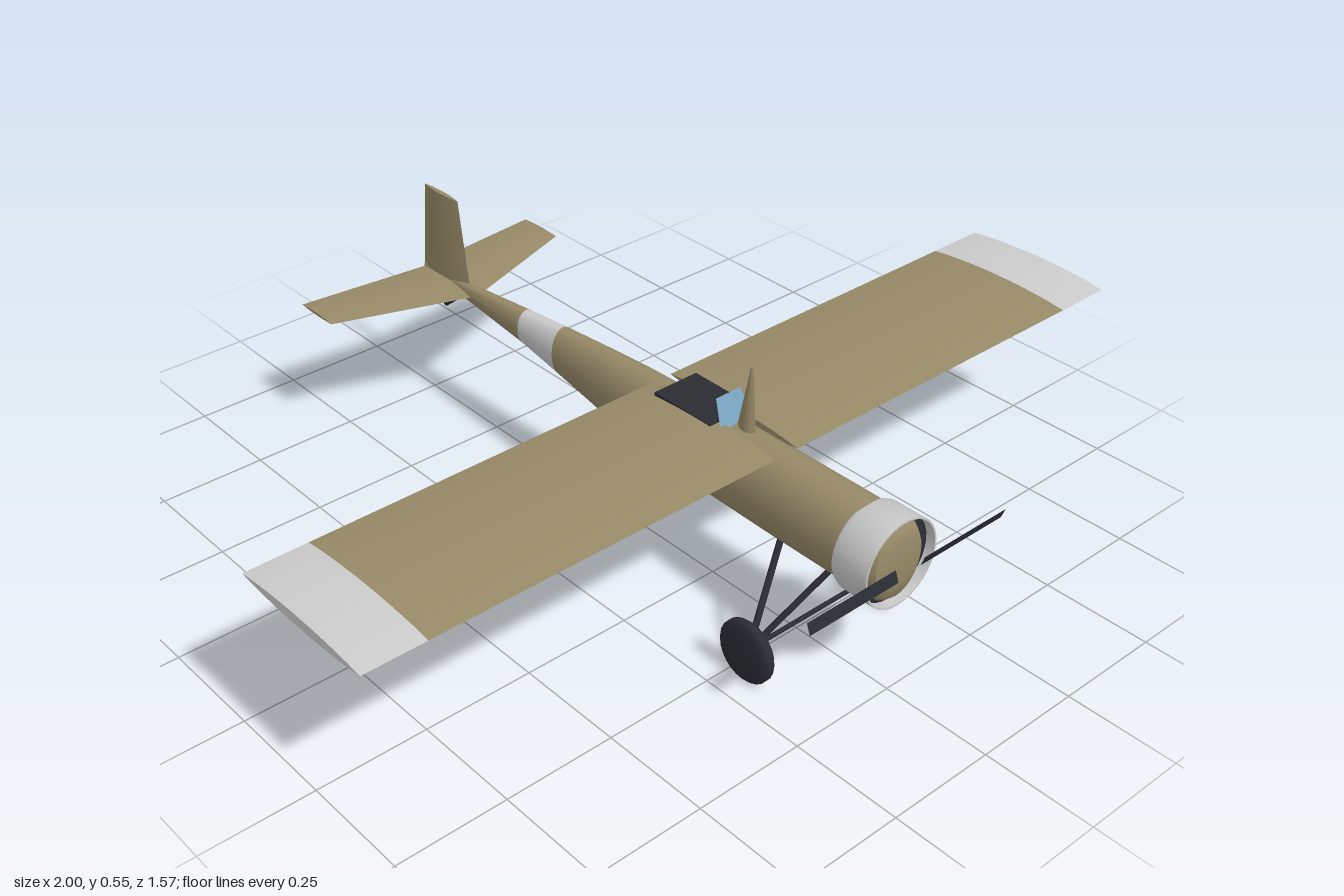
import * as THREE from 'three';
import { toCreasedNormals } from 'three/addons/utils/BufferGeometryUtils.js';

const mat = (color) => new THREE.MeshStandardMaterial({ color, side: THREE.DoubleSide });

// Skin a list of closed rings (arrays of [x, y, z]) and cap both ends
function loft(rings) {
  const n = rings[0].length, pos = rings.flat(2), idx = [];
  for (let i = 0; i < rings.length - 1; i++) {
    for (let j = 0; j < n; j++) {
      const a = i * n + j, b = i * n + (j + 1) % n;
      idx.push(a, b, a + n, b, b + n, a + n);
    }
  }
  [0, rings.length - 1].forEach((r) => {
    const centre = pos.length / 3;
    for (let k = 0; k < 3; k++) pos.push(rings[r].reduce((s, p) => s + p[k], 0) / n);
    for (let j = 0; j < n; j++) {
      const a = r * n + j, b = r * n + (j + 1) % n;
      if (r === 0) idx.push(centre, b, a);
      else idx.push(centre, a, b);
    }
  });
  const g = new THREE.BufferGeometry();
  g.setAttribute('position', new THREE.Float32BufferAttribute(pos, 3));
  g.setIndex(idx);
  return toCreasedNormals(g, 0.7);
}

// Elliptical body section: z, top, bottom, half width
function bodyRing([z, top, bottom, w], n = 24) {
  return Array.from({ length: n }, (_, j) => {
    const a = (j / n) * Math.PI * 2;
    return [Math.cos(a) * w, (top + bottom) / 2 + Math.sin(a) * (top - bottom) / 2, z];
  });
}

// Lens-shaped wing section: span x, trailing z, leading z, half thickness
function foilRing([x, back, front, h], n = 10) {
  return Array.from({ length: 2 * n }, (_, k) => {
    const t = k <= n ? k / n : 2 - k / n;
    const y = h * Math.pow(Math.max(0, Math.sin(Math.PI * t)), 0.75);
    return [x, k <= n ? y : -y, back + (front - back) * t];
  });
}

export function createModel() {
  const model = new THREE.Group();
  const tan = mat(0x988a68), grey = mat(0xcccccc), dark = mat(0x2a2c33), blue = mat(0x78a4c0);

  function add(name, geometry, material, parent = model) {
    const m = new THREE.Mesh(geometry, material);
    m.name = name;
    parent.add(m);
    return m;
  }

  function rod(name, from, to, r) {
    const a = new THREE.Vector3(...from), b = new THREE.Vector3(...to);
    const m = add(name, new THREE.CylinderGeometry(r, r, a.distanceTo(b), 8), dark);
    m.position.copy(a).add(b).multiplyScalar(0.5);
    m.quaternion.setFromUnitVectors(new THREE.Vector3(0, 1, 0), b.sub(a).normalize());
    return m;
  }

  // Fuselage in three stretches, with a pale band near the tail
  const bandBack = [-0.37, 0.378, 0.292, 0.027], bandFront = [-0.24, 0.39, 0.27, 0.034];
  const body = (name, sections, m) => add(name, loft(sections.map((s) => bodyRing(s))), m);
  body('tailCone', [[-0.755, 0.345, 0.325, 0.004], [-0.6, 0.355, 0.315, 0.014], bandBack], tan);
  body('tailBand', [bandBack, bandFront], grey);
  body('fuselage', [
    bandFront, [-0.1, 0.4, 0.246, 0.044], [0.02, 0.406, 0.228, 0.053], [0.2, 0.41, 0.216, 0.064],
    [0.45, 0.41, 0.215, 0.072], [0.67, 0.409, 0.216, 0.075], [0.735, 0.406, 0.219, 0.073],
    [0.75, 0.392, 0.233, 0.063], [0.756, 0.36, 0.265, 0.04],
  ], tan);

  // Open cowling with a rounded back edge and a dark inside
  const cowlProfile = [[0.07, 0.663], [0.092, 0.664], [0.0975, 0.675], [0.098, 0.757], [0.094, 0.757], [0.094, 0.72]]
    .map(([r, z]) => new THREE.Vector2(r, z));
  const cowl = toCreasedNormals(new THREE.LatheGeometry(cowlProfile, 32), 0.8);
  cowl.rotateX(Math.PI / 2);
  add('cowling', cowl, grey).position.y = 0.3125;
  add('cowlingInside', new THREE.RingGeometry(0.05, 0.095, 32), dark).position.set(0, 0.3125, 0.735);

  // Main wings with pale tips
  const wing = (name, x0, x1, m) =>
    add(name, loft([foilRing([x0, 0.077, 0.448, 0.012]), foilRing([x1, 0.077, 0.448, 0.012])]), m)
      .position.set(0, 0.404, 0);
  wing('leftWing', 0.03, 0.86, tan);
  wing('leftWingTip', 0.86, 1, grey);
  wing('rightWing', -0.86, -0.03, tan);
  wing('rightWingTip', -1, -0.86, grey);

  // Tailplane and upright fin
  add('tailplane', loft([
    foilRing([-0.325, -0.785, -0.665, 0.003]),
    foilRing([0, -0.752, -0.552, 0.008]),
    foilRing([0.325, -0.785, -0.665, 0.003]),
  ]), tan).position.y = 0.336;
  const fin = add('fin', loft([
    foilRing([0.335, -0.758, -0.578, 0.01]),
    foilRing([0.556, -0.735, -0.611, 0.006]),
  ]), tan);
  fin.rotation.z = Math.PI / 2;
  rod('tailSkid', [0, 0.325, -0.6], [0, 0.263, -0.68], 0.006);

  // Cockpit opening and sloping windshield
  add('cockpit', new THREE.BoxGeometry(0.115, 0.013, 0.165), dark).position.set(0, 0.4115, 0.2075);
  const glass = new THREE.PlaneGeometry(1, 1);
  const gp = glass.attributes.position;
  for (let i = 0; i < gp.count; i++) {
    const top = gp.getY(i) > 0;
    gp.setXYZ(i, gp.getX(i) * (top ? 0.066 : 0.092), top ? 0.466 : 0.405, top ? 0.28 : 0.31);
  }
  glass.computeVertexNormals();
  add('windshield', glass, blue);

  // Pointed mast ahead of the cockpit
  add('mast', loft([[0.4, 0.308, 0.363, 0.012], [0.556, 0.342, 0.347, 0.003]].map((s) => foilRing(s))), tan)
    .rotation.z = Math.PI / 2;

  // Two thin pitched propeller blades
  for (const [side, name] of [[1, 'leftPropellerBlade'], [-1, 'rightPropellerBlade']]) {
    const blade = add(name, new THREE.PlaneGeometry(0.235, 0.026), dark);
    blade.position.set(side * 0.153, 0.313, 0.778);
    blade.rotation.x = side * 0.35;
  }

  // Landing gear: axle, wheels and V struts
  rod('axle', [-0.19, 0.072, 0.545], [0.19, 0.072, 0.545], 0.005);
  for (const [side, name] of [[1, 'left'], [-1, 'right']]) {
    const profile = [[0, -0.014], [0.045, -0.014], [0.064, -0.012], [0.07, -0.006], [0.07, 0.006], [0.064, 0.012], [0.045, 0.014], [0, 0.014]]
      .map(([r, h]) => new THREE.Vector2(r, h));
    const wheel = add(name + 'Wheel', toCreasedNormals(new THREE.LatheGeometry(profile, 24), 0.9), dark);
    wheel.rotation.z = Math.PI / 2;
    wheel.position.set(side * 0.187, 0.072, 0.545);
    rod(name + 'FrontStrut', [side * 0.178, 0.076, 0.547], [side * 0.035, 0.233, 0.612], 0.007);
    rod(name + 'RearStrut', [side * 0.178, 0.076, 0.543], [side * 0.035, 0.233, 0.477], 0.007);
  }
  return model;
}
